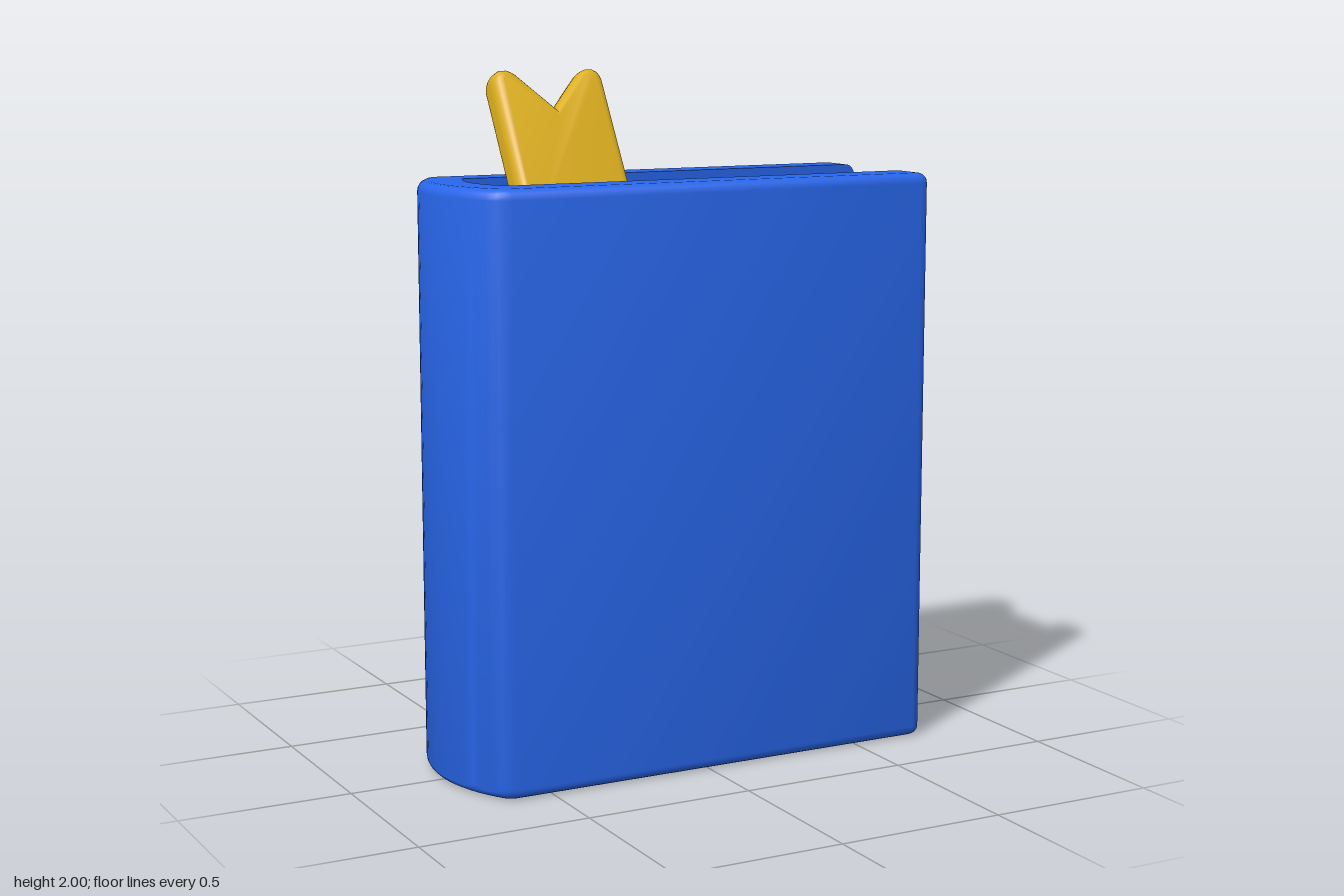
import * as THREE from 'three';
import { toCreasedNormals } from 'three/addons/utils/BufferGeometryUtils.js';
import { RoundedBoxGeometry } from 'three/addons/geometries/RoundedBoxGeometry.js';

const HEIGHT = 1.7;
const ROUND = 0.03;

// Plan outline of the cover (x, -z), with its outer side pulled in by d
function coverOutline(d) {
  const p = [];
  const arc = (cx, cy, r, from, to, n) => {
    for (let i = 0; i <= n; i++) {
      const a = from + ((to - from) * i) / n;
      p.push(new THREE.Vector2(cx + r * Math.cos(a), cy + r * Math.sin(a)));
    }
  };
  const add = (x, y) => p.push(new THREE.Vector2(x, y));
  arc(-0.295, 0, 0.44 - d, Math.PI - 0.632, Math.PI + 0.632, 16); // spine outside
  add(-0.612, -0.28 + d);
  arc(0.695, -0.245, 0.035 - d, -Math.PI / 2, 0, 4);
  add(0.73 - d, -0.147);
  arc(-0.31, 0, 0.3, Math.PI + 0.512, Math.PI - 0.512, 10); // spine inside
  add(0.73 - d, 0.147);
  arc(0.695, 0.245, 0.035 - d, 0, Math.PI / 2, 4);
  add(-0.612, 0.28 - d);
  return p;
}

// Cover: outlines stacked upwards, drawn in at the rounded bottom and top rims
function coverGeometry() {
  const rings = [];
  for (let i = 0; i <= 5; i++) {
    const t = (i / 5) * Math.PI / 2;
    rings.push({ y: ROUND * (1 - Math.sin(t)), d: ROUND * (1 - Math.cos(t)) });
  }
  rings.reverse();
  rings.unshift(...[]);
  const lower = rings.map((r) => ({ y: ROUND - r.y, d: r.d }));
  const levels = [];
  for (let i = 0; i <= 5; i++) {
    const t = (i / 5) * Math.PI / 2;
    levels.push({ y: ROUND * (1 - Math.cos(t)), d: ROUND * (1 - Math.sin(t)) });
  }
  const all = [...levels, ...levels.map((l) => ({ y: HEIGHT - l.y, d: l.d })).reverse()];
  const positions = [];
  const index = [];
  all.forEach(({ y, d }) => coverOutline(d).forEach((q) => positions.push(q.x, y, -q.y)));
  const n = coverOutline(0).length;
  for (let k = 0; k < all.length - 1; k++) {
    for (let i = 0; i < n; i++) {
      const a = k * n + i, b = k * n + ((i + 1) % n);
      index.push(a, b, b + n, a, b + n, a + n);
    }
  }
  const top = (all.length - 1) * n;
  for (const [a, b, c] of THREE.ShapeUtils.triangulateShape(coverOutline(ROUND), [])) {
    index.push(top + a, top + b, top + c, a, c, b);
  }
  const g = new THREE.BufferGeometry();
  g.setAttribute('position', new THREE.Float32BufferAttribute(positions, 3));
  g.setIndex(index);
  return toCreasedNormals(g, 0.7);
}

// Bookmark: swallow-tailed ribbon with a pillowed edge
function bookmarkGeometry() {
  const s = new THREE.Shape();
  s.moveTo(-0.145, -0.1);
  s.lineTo(0.145, -0.1);
  s.lineTo(0.145, 0.345);
  s.quadraticCurveTo(0.142, 0.372, 0.118, 0.353);
  s.lineTo(0, 0.225);
  s.lineTo(-0.118, 0.353);
  s.quadraticCurveTo(-0.142, 0.372, -0.145, 0.345);
  s.closePath();
  const g = new THREE.ExtrudeGeometry(s, {
    depth: 0.02, bevelThickness: 0.042, bevelSize: 0.03, bevelSegments: 6, curveSegments: 6,
  });
  g.translate(0, 0, -0.01);
  return toCreasedNormals(g, 0.7);
}

export function createModel() {
  const model = new THREE.Group();
  const add = (name, geometry, color) => {
    const mesh = new THREE.Mesh(geometry, new THREE.MeshStandardMaterial({ color }));
    mesh.name = name;
    model.add(mesh);
    return mesh;
  };

  add('cover', coverGeometry(), 0x2866ea);

  // Page block, its sides sunk into the cover boards
  const pages = add('pages', new RoundedBoxGeometry(1.34, 1.6, 0.36, 4, 0.025), 0xcccccc);
  pages.position.set(0.02, 0.85, 0);

  // Bookmark leaning back out of the pages
  const bookmark = add('bookmark', bookmarkGeometry(), 0xdcae1e);
  bookmark.position.set(-0.297, 1.65, -0.01);
  bookmark.rotation.x = -0.53;

  return model;
}
